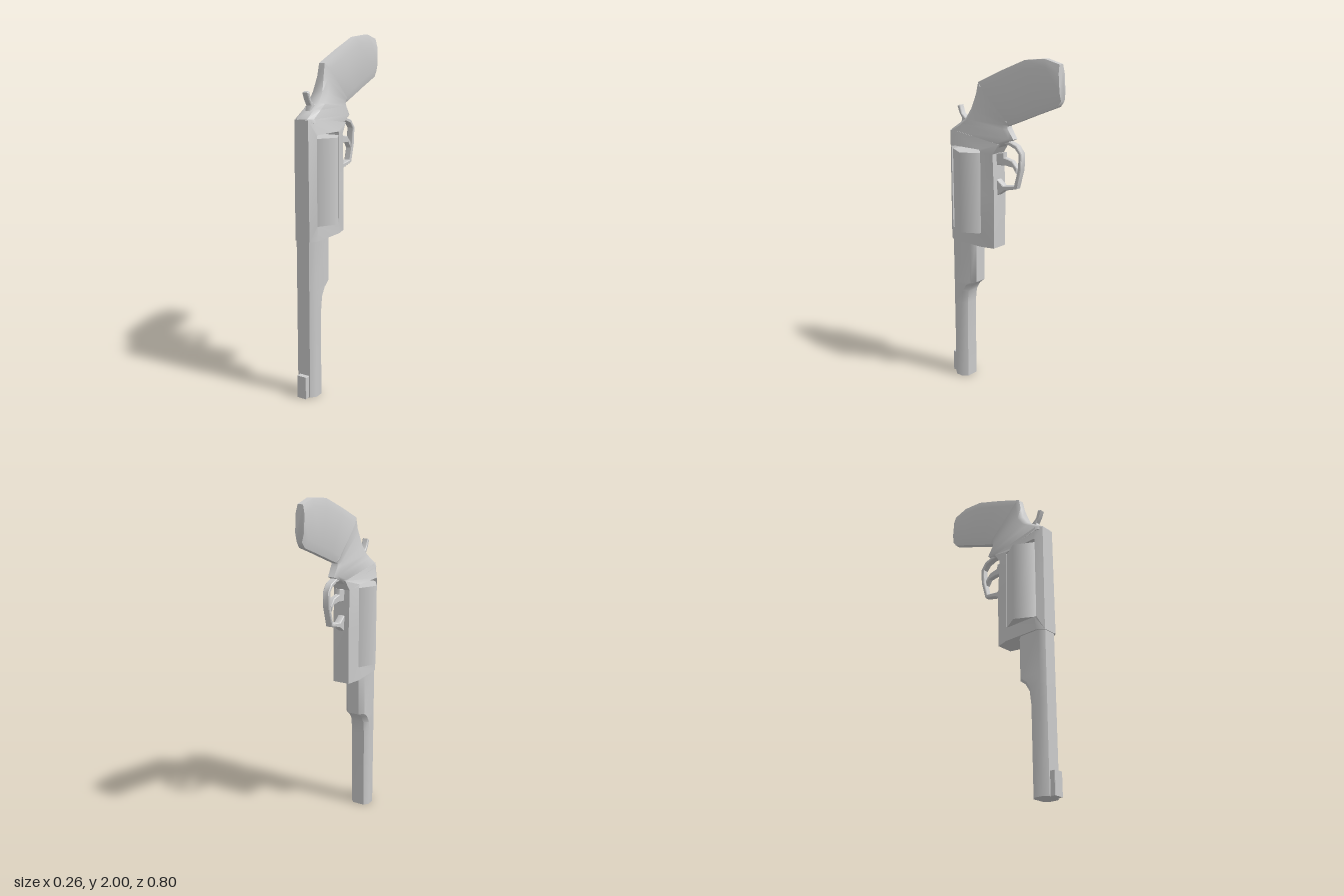
import * as THREE from 'three';
import { toCreasedNormals } from 'three/addons/utils/BufferGeometryUtils.js';

const material = new THREE.MeshStandardMaterial({ color: 0xcccccc });

// Skin a list of equal-length rings; closed joins last to first, otherwise both ends are capped
function skin(rings, closed = false, crease = 0.75) {
  const n = rings[0].length, pos = rings.flat(2), index = [];
  const count = closed ? rings.length : rings.length - 1;
  for (let i = 0; i < count; i++) {
    const k = (i + 1) % rings.length;
    for (let j = 0; j < n; j++) {
      const m = (j + 1) % n;
      const a = i * n + j, b = i * n + m, c = k * n + m, d = k * n + j;
      index.push(a, b, c, a, c, d);
    }
  }
  if (!closed) {
    const top = (rings.length - 1) * n;
    for (let j = 1; j < n - 1; j++) {
      index.push(0, j + 1, j);
      index.push(top, top + j, top + j + 1);
    }
  }
  const g = new THREE.BufferGeometry();
  g.setAttribute('position', new THREE.Float32BufferAttribute(pos, 3));
  g.setIndex(index);
  return toCreasedNormals(g, crease);
}

// Chamfered section from a rear point to a front point, with half widths at each
function section([zr, yr, zf, yf, wr, wf = wr], inset = 0.028) {
  const t = inset / Math.hypot(zf - zr, yf - yr);
  const at = (s, x) => [x, yr + (yf - yr) * s, zr + (zf - zr) * s];
  const er = wr * 0.6, ef = wf * 0.6;
  return [
    at(0, -er), at(0, er), at(t, wr), at(1 - t, wf),
    at(1, ef), at(1, -ef), at(1 - t, -wf), at(t, -wr),
  ];
}

// Flat side profile given as [z, y] points, thickened along x
function plate(points, width, bevel = 0.004) {
  const shape = new THREE.Shape(points.map(([z, y]) => new THREE.Vector2(z, y)));
  const depth = width - 2 * bevel;
  const g = new THREE.ExtrudeGeometry(shape, {
    depth, bevelEnabled: true, bevelSize: bevel, bevelThickness: bevel,
    bevelOffset: -bevel, bevelSegments: 1,
  });
  g.translate(0, 0, -depth / 2);
  g.rotateY(-Math.PI / 2);
  return toCreasedNormals(g, 0.75);
}

export function createModel() {
  const group = new THREE.Group();
  const add = (name, geometry) => {
    const mesh = new THREE.Mesh(geometry, material);
    mesh.name = name;
    group.add(mesh);
    return mesh;
  };

  // Barrel, muzzle down, with the deeper lug next to the frame
  add('barrel', skin([
    [0.37, 0, 0.265, 0, 0.062],
    [0.37, 0.5, 0.262, 0.5, 0.062],
    [0.37, 0.58, 0.252, 0.58, 0.062],
    [0.37, 0.625, 0.225, 0.625, 0.062],
    [0.37, 0.655, 0.187, 0.655, 0.062],
    [0.37, 0.92, 0.185, 0.92, 0.062],
  ].map(s => section(s))));

  // Front sight
  add('frontSight', plate([[0.36, 0], [0.4, 0], [0.4, 0.13], [0.36, 0.13]], 0.06, 0.002));

  // Frame: ring around the window, [outer z, y, half width, inner z, y]
  const frame = [
    [0.375, 0.905, 0.045, 0.338, 0.985],
    [0.335, 0.905, 0.072, 0.325, 0.985],
    [0.115, 0.905, 0.072, 0.125, 0.985],
    [0.035, 0.905, 0.05, 0.115, 0.99],
    [0.032, 1.22, 0.05, 0.115, 1.22],
    [0.042, 1.46, 0.05, 0.115, 1.47],
    [0.0, 1.52, 0.045, 0.125, 1.48],
    [0.33, 1.565, 0.058, 0.33, 1.48],
    [0.375, 1.56, 0.042, 0.338, 1.475],
  ];
  add('frame', skin(frame.map(([z, y, w, iz, iy]) => [
    [-w, y, z], [-0.072, iy, iz], [0.072, iy, iz], [w, y, z],
  ]), true, 0.6));

  // Six-sided cylinder in the window
  const drum = add('cylinder', new THREE.CylinderGeometry(0.13, 0.13, 0.475, 6));
  drum.rotation.y = Math.PI / 6;
  drum.position.set(0, 1.2225, 0.222);

  // Neck rising from the frame and narrowing into the grip
  add('neck', skin([
    [0.373, 1.545, 0.02, 1.495, 0.064, 0.05],
    [0.372, 1.565, -0.02, 1.525, 0.058, 0.044],
    [0.3, 1.612, -0.083, 1.553, 0.055, 0.03],
    [0.258, 1.64, -0.045, 1.605, 0.055, 0.034],
    [0.217, 1.7, -0.04, 1.622, 0.05, 0.032],
    [0.19, 1.78, -0.05, 1.63, 0.034, 0.03],
    [0.175, 1.848, -0.06, 1.632, 0.03],
  ].map(s => section(s)), false, 1));

  // Grip
  add('grip', skin([
    [0.175, 1.848, -0.055, 1.629, 0.03],
    [0.01, 1.92, -0.14, 1.663, 0.03],
    [-0.16, 1.987, -0.24, 1.704, 0.03],
    [-0.29, 2.0, -0.375, 1.757, 0.03],
    [-0.385, 1.977, -0.4, 1.79, 0.026],
  ].map(s => section(s, 0.045)), false, 1));

  // Hammer
  add('hammer', plate([
    [0.25, 1.58], [0.32, 1.59], [0.305, 1.63], [0.325, 1.66], [0.342, 1.7],
    [0.322, 1.708], [0.305, 1.66], [0.275, 1.635], [0.25, 1.63],
  ], 0.036));

  // Trigger guard band
  add('triggerGuard', plate([
    [0.0, 1.545], [-0.05, 1.54], [-0.105, 1.522], [-0.14, 1.48], [-0.137, 1.39],
    [-0.105, 1.277], [-0.02, 1.255], [0.04, 1.215], [0.04, 1.315], [-0.008, 1.28],
    [-0.088, 1.293], [-0.115, 1.39], [-0.12, 1.475], [-0.093, 1.503],
    [-0.05, 1.518], [0.0, 1.522],
  ], 0.04));

  // Trigger with its pivot block
  add('trigger', plate([
    [0.05, 1.46], [-0.01, 1.473], [-0.012, 1.443], [-0.07, 1.432], [-0.105, 1.395],
    [-0.1, 1.362], [-0.075, 1.395], [-0.025, 1.4], [0.05, 1.393],
  ], 0.032));

  return group;
}
